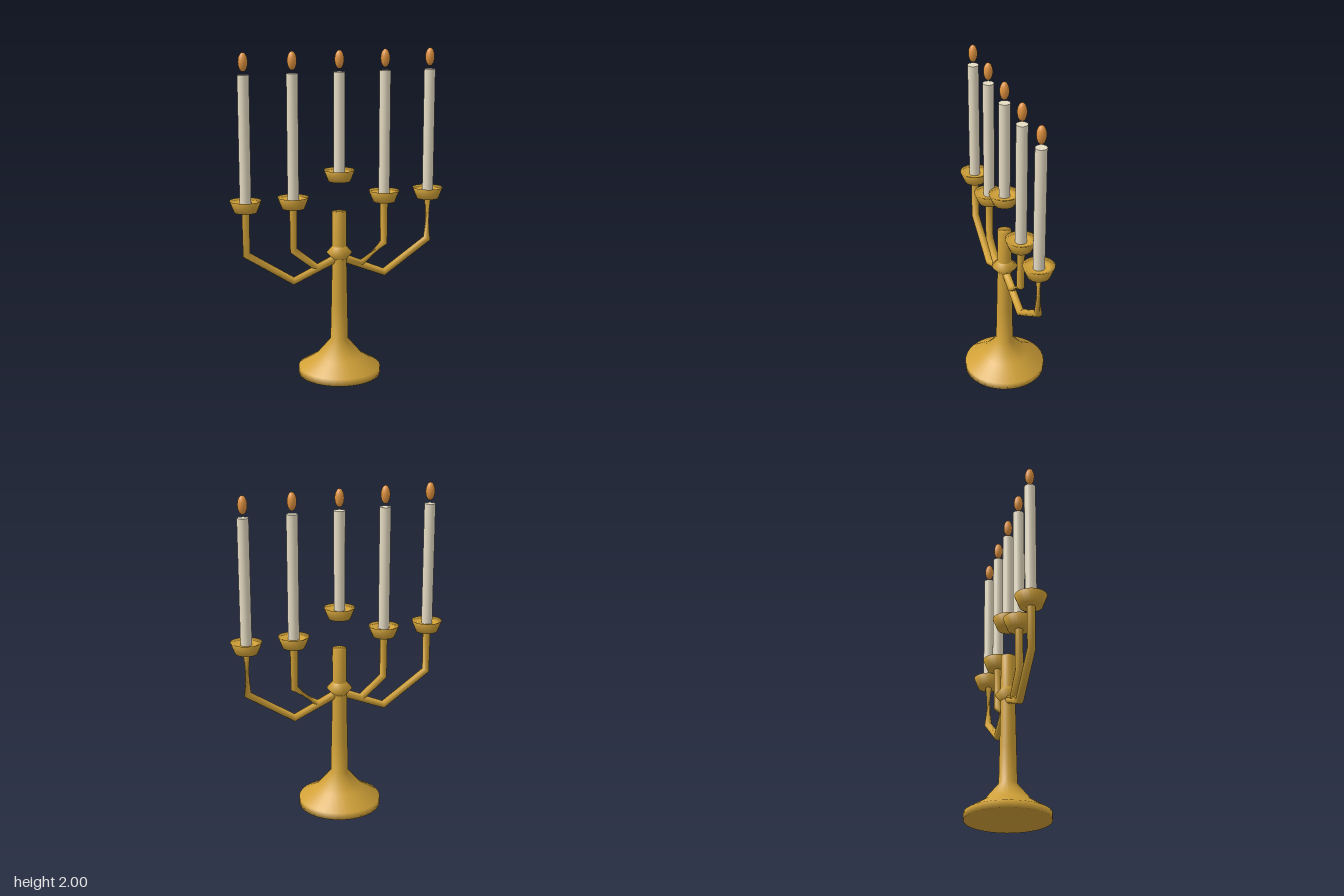
import * as THREE from 'three';

const gold = new THREE.MeshStandardMaterial({ color: 0xd2a238, side: THREE.DoubleSide });
const wax = new THREE.MeshStandardMaterial({ color: 0xe6dcc3 });
const fire = new THREE.MeshStandardMaterial({ color: 0xe0923f });

function add(parent, name, geometry, material, x = 0, y = 0) {
  const mesh = new THREE.Mesh(geometry, material);
  mesh.name = name;
  mesh.position.set(x, y, 0);
  parent.add(mesh);
  return mesh;
}

// Turned part from [radius, height] pairs, bottom to top
const turned = (profile, sides = 32) =>
  new THREE.LatheGeometry(profile.map(([r, y]) => new THREE.Vector2(r, y)), sides);

// Round bar along a bent path in the xy plane; twists turn each ring about the path
function bar(path, radius, twists, sides = 10) {
  const pts = path.map(([x, y]) => new THREE.Vector3(x, y, 0));
  const pos = [], index = [];
  pts.forEach((p, i) => {
    const t = new THREE.Vector3();
    if (i > 0) t.add(p.clone().sub(pts[i - 1]).normalize());
    if (i < pts.length - 1) t.add(pts[i + 1].clone().sub(p).normalize());
    t.normalize();
    for (let j = 0; j < sides; j++) {
      const a = (j / sides) * Math.PI * 2 + twists[i];
      const n = radius * Math.cos(a);
      pos.push(p.x - t.y * n, p.y + t.x * n, radius * Math.sin(a));
      if (i < pts.length - 1) {
        const k = i * sides + j, l = i * sides + (j + 1) % sides;
        index.push(k, l, k + sides, l, l + sides, k + sides);
      }
    }
  });
  const g = new THREE.BufferGeometry();
  g.setAttribute('position', new THREE.Float32BufferAttribute(pos, 3));
  g.setIndex(index);
  g.computeVertexNormals();
  return g;
}

export function createModel() {
  const group = new THREE.Group();

  // Foot and stem in one turned piece
  add(group, 'baseAndStem', turned([
    [0, 0], [0.255, 0], [0.255, 0.045], [0.145, 0.112], [0.055, 0.22],
    [0.05, 0.45], [0.044, 0.75], [0.044, 1.03], [0, 1.03],
  ]), gold);
  add(group, 'stemKnob', turned([[0.04, 0.73], [0.078, 0.775], [0.04, 0.818]]), gold);

  // Branches; the left pair has a twisted stretch in each bar
  const turn = 2.7;
  for (const s of [-1, 1]) {
    const side = s > 0 ? 'left' : 'right';
    const flip = s > 0 ? turn : 0;
    const outer = [[0, 0.745], [0.295, 0.62], [0.587, 0.81], [0.587, 1.1]];
    const inner = [[0, 0.75], [0.145, 0.69], [0.293, 0.81], [0.293, 1.1]];
    const mirror = (path) => path.map(([x, y]) => [s * x, y]);
    add(group, side + 'OuterArm', bar(mirror(outer), 0.024, [0, 0, 0, flip]), gold);
    add(group, side + 'InnerArm', bar(mirror(inner), 0.024, [0, 0, flip, flip]), gold);
  }

  // Cup, candle and flame on every holder; the middle cup sits higher
  const cup = turned([[0, 0], [0.067, 0], [0.094, 0.07], [0.06, 0.055], [0, 0.05]], 24);
  for (const x of [-0.587, -0.293, 0, 0.293, 0.587]) {
    const y = x === 0 ? 1.217 : 1.07;
    const holder = new THREE.Group();
    holder.name = 'candleHolder';
    holder.position.x = x;
    add(holder, 'cup', cup, gold, 0, y);
    const bottom = y + 0.045, top = 1.872;
    add(holder, 'candle', new THREE.CylinderGeometry(0.034, 0.034, top - bottom, 20), wax,
      0, (top + bottom) / 2);
    add(holder, 'flame', new THREE.SphereGeometry(0.028, 16, 12), fire, 0, 1.945)
      .scale.set(1, 0.055 / 0.028, 1);
    group.add(holder);
  }
  return group;
}
